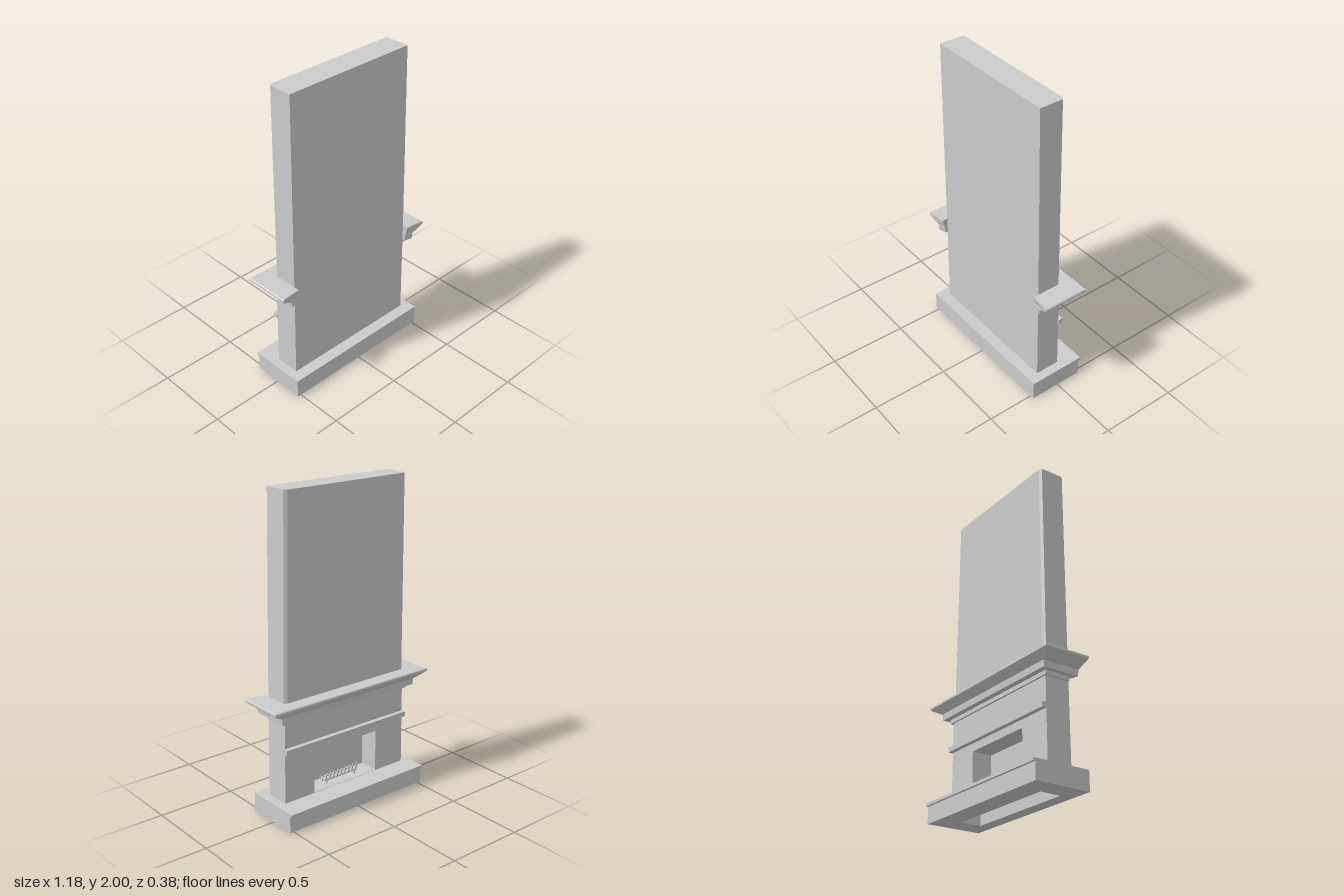
import * as THREE from 'three';

const material = new THREE.MeshStandardMaterial({ color: 0xcccccc, flatShading: true });

function add(group, name, geometry, x = 0, y = 0, z = 0) {
  const mesh = new THREE.Mesh(geometry, material);
  mesh.name = name;
  mesh.position.set(x, y, z);
  group.add(mesh);
  return mesh;
}

// box given by its limits on each axis
function addBox(group, name, x0, x1, y0, y1, z0, z1) {
  return add(group, name, new THREE.BoxGeometry(x1 - x0, y1 - y0, z1 - z0),
    (x0 + x1) / 2, (y0 + y1) / 2, (z0 + z1) / 2);
}

// closed solid from horizontal sections { y, ring: [[x, z], ...] }, rings counterclockwise from above
function loft(sections) {
  const out = [];
  const put = (s, i) => out.push(s.ring[i][0], s.y, s.ring[i][1]);
  const n = sections[0].ring.length;
  for (let k = 0; k < sections.length - 1; k++) {
    const lo = sections[k], hi = sections[k + 1];
    for (let i = 0; i < n; i++) {
      const j = (i + 1) % n;
      put(lo, i); put(lo, j); put(hi, j);
      put(lo, i); put(hi, j); put(hi, i);
    }
  }
  const cap = (s, flip) => {
    const flat = s.ring.map(([x, z]) => new THREE.Vector2(x, -z));
    for (const [a, b, c] of THREE.ShapeUtils.triangulateShape(flat, [])) {
      put(s, a); put(s, flip ? c : b); put(s, flip ? b : c);
    }
  };
  cap(sections[0], true);
  cap(sections[sections.length - 1], false);
  const g = new THREE.BufferGeometry();
  g.setAttribute('position', new THREE.Float32BufferAttribute(out, 3));
  g.computeVertexNormals();
  return g;
}

function extrude(points, z0, z1) {
  const shape = new THREE.Shape(points.map(([x, y]) => new THREE.Vector2(x, y)));
  return new THREE.ExtrudeGeometry(shape, { depth: z1 - z0, bevelEnabled: false }).translate(0, 0, z0);
}

export function createModel() {
  const model = new THREE.Group();
  model.name = 'fireplace';

  // plinth: a frame open underneath, with a lip along the hearth side
  const plinth = new THREE.Group();
  plinth.name = 'plinth';
  model.add(plinth);
  const frame = new THREE.Shape([[-0.525, -0.19], [0.525, -0.19], [0.525, 0.17], [-0.525, 0.17]]
    .map(([x, y]) => new THREE.Vector2(x, y)));
  frame.holes.push(new THREE.Path([[-0.38, -0.105], [-0.38, 0.03], [0.38, 0.03], [0.38, -0.105]]
    .map(([x, y]) => new THREE.Vector2(x, y))));
  const frameGeometry = new THREE.ExtrudeGeometry(frame, { depth: 0.122, bevelEnabled: false });
  frameGeometry.rotateX(-Math.PI / 2);
  add(plinth, 'plinthFrame', frameGeometry);
  addBox(plinth, 'plinthLip', -0.525, 0.525, 0.104, 0.122, -0.185, -0.17);

  // lower body: surround with the firebox opening, closed by a front wall
  const left = [-0.468, -0.463], right = [0.465, 0.458];
  add(model, 'fireSurround', extrude([
    [left[0], 0.12], [-0.245, 0.12], [-0.245, 0.395], [0.245, 0.395], [0.245, 0.12],
    [right[0], 0.12], [right[1], 0.75], [left[1], 0.75],
  ], -0.045, 0.085));
  add(model, 'lowerWall', extrude([
    [left[0], 0.12], [right[0], 0.12], [right[1], 0.75], [left[1], 0.75],
  ], 0.085, 0.115));
  addBox(model, 'hearthFloor', -0.4, 0.4, 0.112, 0.124, -0.044, 0.11);

  // chimney breast: tapered, with chamfered corners on the hearth side
  const breast = (y, x0, x1) => ({
    y,
    ring: [[x1, 0.115], [x1, -0.037], [x1 - 0.02, -0.048], [x0 + 0.017, -0.048], [x0, -0.037], [x0, 0.115]],
  });
  add(model, 'chimneyBreast', loft([breast(0.75, left[1], right[1]), breast(2, -0.457, 0.433)]));

  // mantel: stepped moulding round three sides; rows are y, half width, hearth-side z, end z
  const mantel = [
    [0.635, 0.48, -0.057, 0.11],
    [0.66, 0.48, -0.057, 0.11],
    [0.66, 0.51, -0.092, 0.147],
    [0.70, 0.513, -0.095, 0.149],
    [0.705, 0.525, -0.1, 0.15],
    [0.737, 0.582, -0.13, 0.16],
    [0.745, 0.59, -0.137, 0.162],
    [0.757, 0.59, -0.137, 0.162],
    [0.762, 0.584, -0.132, 0.16],
  ].map(([y, x, back, end]) => ({
    y,
    ring: [[x, end], [x, back], [-x, back], [-x, end],
      [-0.46, end - 0.014], [-0.46, -0.03], [0.46, -0.03], [0.46, end - 0.014]],
  }));
  add(model, 'mantelShelf', loft(mantel));

  // trim above the opening
  addBox(model, 'surroundTrim', -0.468, 0.468, 0.445, 0.477, -0.074, -0.04);

  // grate: leaning bars on two rails
  const grate = new THREE.Group();
  grate.name = 'grate';
  model.add(grate);
  addBox(grate, 'grateRail', -0.13, 0.13, 0.145, 0.153, 0.0, 0.008);
  addBox(grate, 'grateRail', -0.13, 0.13, 0.145, 0.153, 0.045, 0.053);
  for (let i = 0; i < 9; i++) {
    const x = -0.12 + i * 0.03;
    addBox(grate, 'grateBar', x - 0.004, x + 0.004, 0.145, 0.153, 0, 0.053);
    const prong = addBox(grate, 'grateProng', x - 0.004, x + 0.004, 0.145, 0.2, -0.006, 0.002);
    prong.rotation.x = -0.25;
  }
  for (const x of [-0.11, 0.11]) {
    for (const z of [0.0, 0.045]) addBox(grate, 'grateLeg', x - 0.004, x + 0.004, 0.122, 0.15, z, z + 0.008);
  }
  return model;
}
